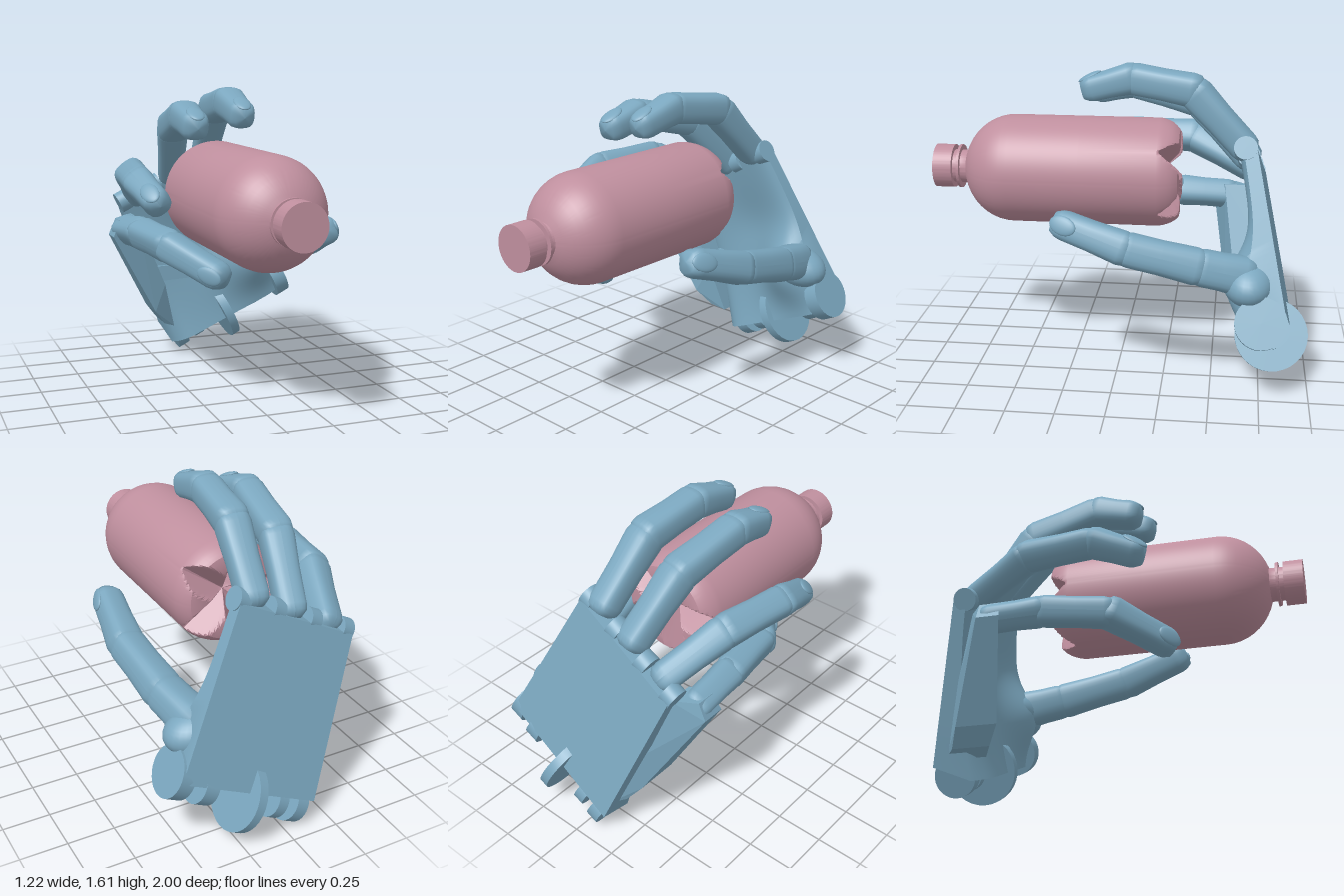
import * as THREE from 'three';
import { toCreasedNormals } from 'three/addons/utils/BufferGeometryUtils.js';
import { ConvexGeometry } from 'three/addons/geometries/ConvexGeometry.js';

const V = (x, y, z) => new THREE.Vector3(x, y, z);
const handMat = new THREE.MeshStandardMaterial({ color: 0x7ba7bf });
const bottleMat = new THREE.MeshStandardMaterial({ color: 0xbf8f9e });
const ACROSS = V(0.89, 0.45, 0).normalize(); // direction across the palm

function mesh(name, geo, mat = handMat) {
  const m = new THREE.Mesh(geo, mat);
  m.name = name;
  return m;
}

// Move every vertex of a geometry by a rule
function warp(geo, rule) {
  const p = geo.attributes.position, v = V(0, 0, 0);
  for (let i = 0; i < p.count; i++) {
    rule(v.fromBufferAttribute(p, i));
    p.setXYZ(i, v.x, v.y, v.z);
  }
  return geo;
}

// Disc whose axis runs across the palm
function disc(name, center, radius, width) {
  const geo = toCreasedNormals(new THREE.CylinderGeometry(radius, radius, width, 32), 0.6);
  const m = mesh(name, geo);
  m.quaternion.setFromUnitVectors(V(0, 1, 0), ACROSS);
  m.position.copy(center);
  return m;
}

// Frame with y along a->b and z towards the back of the finger
function boneFrame(a, b, dorsal) {
  const y = b.clone().sub(a).normalize();
  const z = dorsal.clone().addScaledVector(y, -dorsal.dot(y)).normalize();
  const x = y.clone().cross(z);
  return new THREE.Matrix4().makeBasis(x, y, z).setPosition(a);
}

// One finger bone: a waisted, slightly square capsule; the tip is blunter
function phalanx(a, b, r0, r1, dorsal, isTip) {
  const full = a.distanceTo(b);
  const L = isTip ? full - r1 * 0.5 : full;
  const pts = [[0, -0.7 * r0], [0.6 * r0, -0.6 * r0], [0.92 * r0, -0.3 * r0], [r0, 0.1 * r0],
    [(r0 + r1) * 0.48, L * 0.5], [r1, L - 0.35 * r1], [0.93 * r1, L], [0.7 * r1, L + 0.4 * r1], [0, L + 0.5 * r1]];
  const geo = new THREE.LatheGeometry(pts.map(p => new THREE.Vector2(p[0], p[1])), 28);
  warp(geo, v => {
    const ang = Math.atan2(v.z, v.x);
    const k = 0.95 / Math.pow(Math.cos(ang) ** 4 + Math.sin(ang) ** 4, 0.18);
    v.x *= k;
    v.z *= k;
  });
  geo.computeVertexNormals();
  return geo.applyMatrix4(boneFrame(a, b, dorsal));
}

// Whole finger along its joints, with a nail at the end
function finger(name, joints, radii, dorsal) {
  const g = new THREE.Group();
  g.name = name;
  const last = joints.length - 2;
  for (let i = 0; i <= last; i++) {
    g.add(mesh(i === last ? 'fingertip' : 'fingerBone',
      phalanx(joints[i], joints[i + 1], radii[i], radii[i + 1], dorsal, i === last)));
  }
  const r = radii[last + 1], L = joints[last].distanceTo(joints[last + 1]);
  const nail = new THREE.SphereGeometry(1, 20, 12).scale(r * 0.6, r * 0.9, r * 0.2);
  nail.rotateX(-0.2).translate(0, L - r * 0.85, r * 0.84);
  g.add(mesh('nail', nail.applyMatrix4(boneFrame(joints[last], joints[last + 1], dorsal))));
  return g;
}

const backZ = y => -0.97 + 0.22 * y; // flat back of the hand

function palm() {
  const BL = V(-0.12, 0.06, 0), BR = V(0.59, 0.37, 0), TL = V(-0.44, 0.93, 0), TR = V(0.16, 1.22, 0);
  const geo = warp(new THREE.BoxGeometry(1, 1, 1, 30, 36, 1), v => {
    const s = v.x + 0.5, front = v.z > 0;
    // the back stops short of the wrist so that the lugs stand free
    const t = front ? v.y + 0.5 : 0.09 + 0.91 * (v.y + 0.5);
    const p = BL.clone().lerp(BR, s).lerp(TL.clone().lerp(TR, s), t);
    const bump = (x, y, r) => Math.exp(-((p.x - x) ** 2 + (p.y - y) ** 2) / (r * r));
    let thick = 0.1 + (0.21 - 0.1 * s) * (1 - t) ** 2 + 0.12 * bump(0.34, 0.56, 0.19) - 0.03 * bump(0.05, 0.75, 0.2);
    thick *= 1 - 0.3 * Math.abs(2 * s - 1) ** 8;
    v.set(p.x, p.y, backZ(p.y) + (front ? thick : 0));
  });
  return mesh('palm', toCreasedNormals(geo, 0.7));
}

// Folding outer part of the palm that carries the little finger
function sideFlap() {
  const outline = [[-0.53, 0.77, -0.48, -0.6], [-0.49, 0.86, -0.5, -0.6], [-0.38, 0.87, -0.54, -0.68],
    [-0.2, 0.45, -0.6, -0.84], [-0.13, 0.18, -0.66, -0.88], [-0.2, 0.21, -0.62, -0.82], [-0.27, 0.3, -0.56, -0.78]];
  const pts = outline.flatMap(([x, y, f, b]) => [V(x, y, f), V(x, y, b)]);
  return mesh('sideFlap', new ConvexGeometry(pts));
}

function bottle() {
  const g = new THREE.Group();
  g.name = 'bottle';
  const prof = [[0, -0.25], [0.04, -0.26], [0.08, -0.285], [0.12, -0.31], [0.15, -0.31], [0.18, -0.31], [0.21, -0.31],
    [0.235, -0.305], [0.25, -0.29], [0.263, -0.27], [0.272, -0.25], [0.28, -0.225], [0.285, -0.2], [0.285, 0.2], [0.285, 0.57]];
  for (let i = 1; i <= 9; i++) { // rounded shoulder
    const a = (i / 9) * 1.25;
    prof.push([0.285 * Math.cos(a), 0.57 + 0.27 * Math.sin(a)]);
  }
  prof.push([0.088, 0.83], [0.088, 0.86], [0.115, 0.86], [0.115, 0.874], [0.088, 0.874],
    [0.088, 0.9], [0.115, 0.9], [0.115, 1], [0, 1]);
  const geo = new THREE.LatheGeometry(prof.map(p => new THREE.Vector2(p[0], p[1])), 150);
  geo.rotateX(Math.PI / 2);
  // five V grooves across the base
  const step = Math.PI * 2 / 5;
  warp(geo, v => {
    if (v.z > -0.19) return;
    const d = (Math.atan2(v.y, v.x) - step / 2) / step;
    const da = Math.abs(d - Math.round(d)) * step;
    v.z = Math.max(v.z, -0.2 - 1.4 * da * Math.hypot(v.x, v.y));
  });
  g.add(mesh('bottleBody', toCreasedNormals(geo, 0.5), bottleMat));
  g.position.set(-0.025, 1.032, 0);
  return g;
}

export function createModel() {
  const model = new THREE.Group();
  model.name = 'handWithBottle';
  const hand = new THREE.Group();
  hand.name = 'hand';
  hand.add(palm(), sideFlap());

  // Hinge bar between palm and flap
  const bar = mesh('flapHinge', new THREE.BoxGeometry(0.19, 0.09, 0.14));
  bar.position.set(-0.12, 0.5, -0.76);
  bar.rotation.z = 0.05;
  hand.add(bar);

  // Knuckle lugs along the upper edge of the palm
  for (const t of [0.04, 0.34, 0.66, 0.96]) {
    const x = -0.44 + 0.6 * t, y = 0.93 + 0.29 * t;
    hand.add(disc('knuckleLug', V(x, y, backZ(y) + 0.06), 0.06, 0.065));
  }

  // Wrist lugs: x, y, height above the back, radius, width
  for (const [x, y, h, r, w] of [[-0.07, 0.11, 0.11, 0.11, 0.07], [0.035, 0.16, 0.1, 0.1, 0.06],
    [0.41, 0.35, 0.1, 0.1, 0.08], [0.53, 0.43, 0.13, 0.13, 0.08]])
    hand.add(disc('wristLug', V(x, y, backZ(y) + h), r, w));
  // Large disc standing through the wrist
  hand.add(disc('wristDisc', V(0.21, 0.23, -0.81), 0.19, 0.05));

  // Thumb saddle
  const saddle = mesh('thumbSaddle', new THREE.SphereGeometry(1, 28, 18));
  saddle.scale.set(0.17, 0.11, 0.13);
  saddle.position.set(0.38, 0.59, -0.68);
  saddle.rotation.z = -0.15;
  hand.add(saddle);

  const up = V(0, 1, 0);
  hand.add(
    finger('indexFinger', [V(0.06, 1.2, -0.64), V(0.025, 1.48, -0.37), V(-0.005, 1.53, -0.05), V(-0.01, 1.46, 0.21)],
      [0.08, 0.09, 0.085, 0.072], up),
    finger('middleFinger', [V(-0.14, 1.1, -0.66), V(-0.205, 1.38, -0.4), V(-0.25, 1.465, -0.04), V(-0.25, 1.41, 0.19)],
      [0.08, 0.09, 0.085, 0.075], up),
    finger('ringFinger', [V(-0.34, 0.99, -0.67), V(-0.45, 1.13, -0.36), V(-0.505, 1.13, 0), V(-0.465, 1.04, 0.25)],
      [0.08, 0.09, 0.085, 0.075], V(-0.6, 0.8, 0)),
    finger('littleFinger', [V(-0.44, 0.8, -0.56), V(-0.42, 0.82, -0.28), V(-0.36, 0.8, 0.05), V(-0.16, 0.665, 0.34)],
      [0.08, 0.085, 0.085, 0.075], V(-0.3, -0.2, 1)),
    finger('thumb', [V(0.38, 0.62, -0.65), V(0.43, 0.68, -0.42), V(0.46, 0.77, -0.06), V(0.41, 0.885, 0.3)],
      [0.11, 0.1, 0.093, 0.08], V(1, 0.3, 0)));

  model.add(hand, bottle());
  return model;
}
